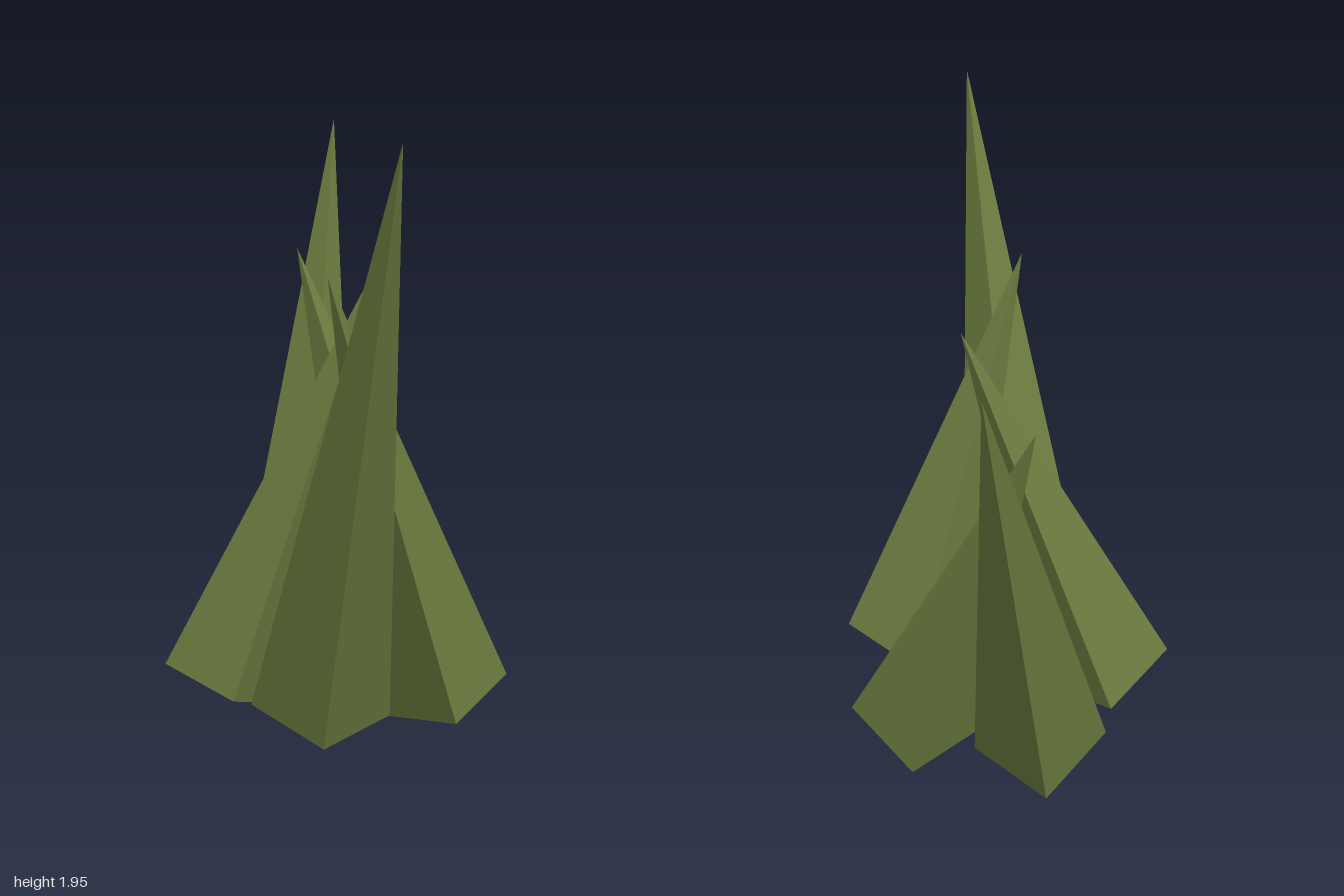
import * as THREE from 'three';

export function createModel() {
  const group = new THREE.Group();
  group.name = 'grassTuft';
  const green = new THREE.MeshStandardMaterial({ color: 0x6b7c3f });
  green.name = 'grassGreen';

  // a blade is a four-sided spike: base centre, tip, and one base corner to set its roll
  function blade(name, base, tip, corner, radius) {
    const b = new THREE.Vector3(...base);
    const up = new THREE.Vector3(...tip).sub(b);
    const height = up.length();
    up.normalize();
    const out = new THREE.Vector3(...corner).sub(b);
    out.addScaledVector(up, -out.dot(up)).normalize();
    const side = new THREE.Vector3().crossVectors(up, out);

    const geometry = new THREE.ConeGeometry(radius, height, 4).translate(0, height / 2, 0).toNonIndexed();
    geometry.computeVertexNormals();
    geometry.applyMatrix4(new THREE.Matrix4().makeBasis(side, up, out).setPosition(b));

    const mesh = new THREE.Mesh(geometry, green);
    mesh.name = name;
    group.add(mesh);
  }

  // three short blades leaning inwards
  blade('rightBlade', [-0.355, 0.083, 0], [0.152, 1.52, 0.015], [-0.57, 0.16, 0], 0.228);
  blade('leftFrontBlade', [0.348, 0.08, 0.205], [-0.07, 1.52, 0.5], [0.565, 0.145, 0.205], 0.228);
  blade('leftBackBlade', [0.333, 0.08, -0.245], [-0.065, 1.52, -0.56], [0.55, 0.14, -0.245], 0.228);

  // two tall blades leaning outwards
  blade('tallFrontBlade', [-0.078, 0.08, 0.36], [0.1, 1.96, 0.995], [-0.305, 0.105, 0.355], 0.229);
  blade('tallBackBlade', [-0.098, 0.08, -0.372], [0.115, 1.96, -1.0], [-0.325, 0.105, -0.37], 0.229);

  return group;
}
